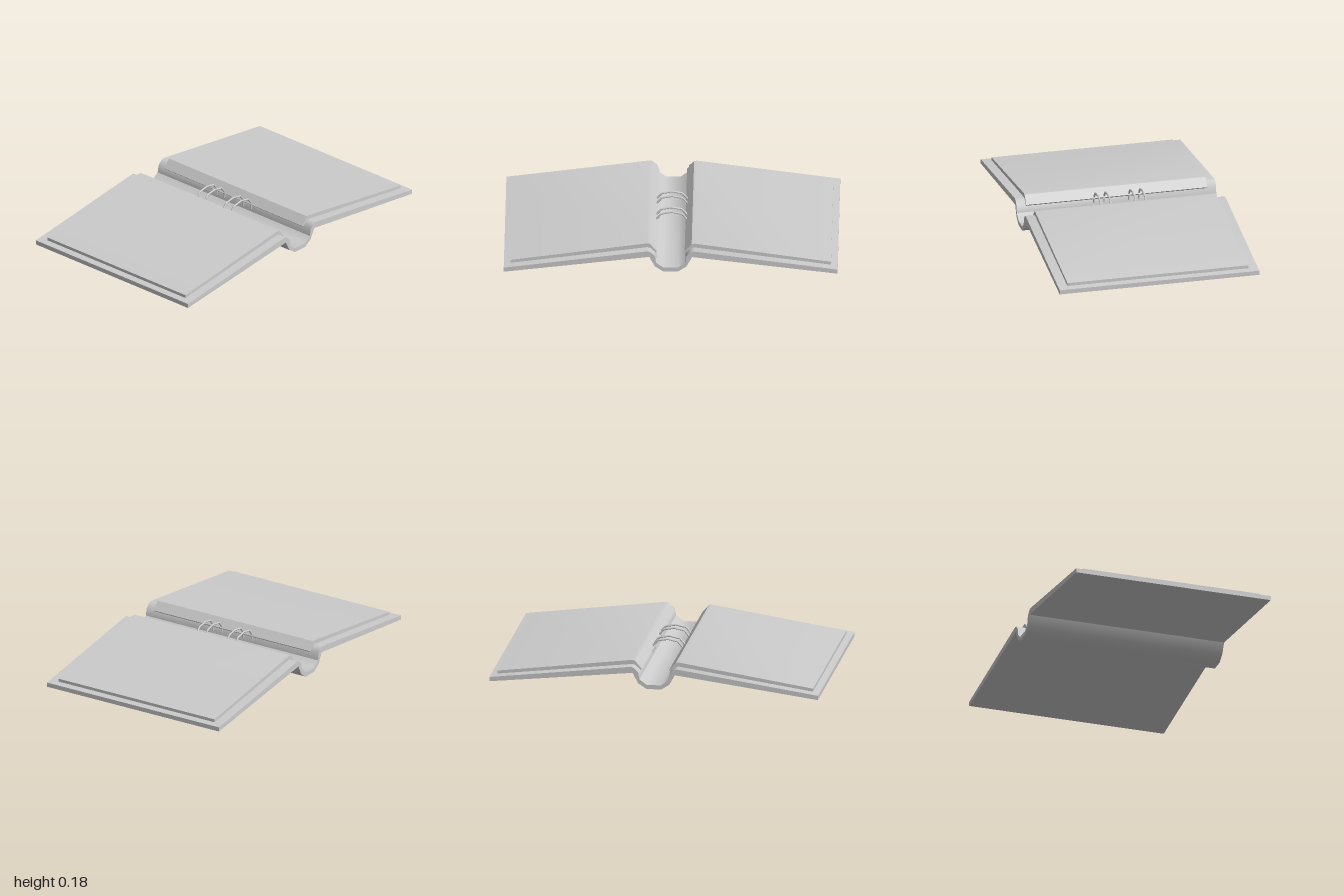
import * as THREE from 'three';
import { toCreasedNormals } from 'three/addons/utils/BufferGeometryUtils.js';

const material = new THREE.MeshStandardMaterial({ color: 0xcccccc });

// Sweeps a (z, y) section along x, centred on x = 0
function sweep(name, points, width) {
  const shape = new THREE.Shape(points.map(([z, y]) => new THREE.Vector2(-z, y)));
  const geometry = new THREE.ExtrudeGeometry(shape, { depth: width, bevelEnabled: false });
  geometry.translate(0, 0, -width / 2).rotateY(Math.PI / 2);
  const mesh = new THREE.Mesh(toCreasedNormals(geometry, 0.7), material);
  mesh.name = name;
  return mesh;
}

const mirror = (points) => points.map(([z, y]) => [-z, y]).reverse();

export function createModel() {
  const group = new THREE.Group();
  group.name = 'openRingBinder';

  // Cover: two sloping boards joined by a sunken rounded spine
  const top = [[1, 0.03], [0.14, 0.145], [0.122, 0.14], [0.095, 0.115], [0.087, 0.07], [0.045, 0.038]];
  const bottom = [[0.045, 0.012], [0.095, 0.045], [0.128, 0.108], [1, 0.003]];
  group.add(sweep('cover', [...top, ...mirror(top), ...mirror(bottom), ...bottom], 1.23));

  // Page stacks, bending down into the spine
  const pages = [
    [0.96, 0.033], [0.96, 0.054], [0.145, 0.17], [0.125, 0.168], [0.11, 0.15],
    [0.083, 0.118], [0.094, 0.108], [0.122, 0.138], [0.14, 0.143],
  ];
  group.add(sweep('frontPages', pages, 1.116));
  group.add(sweep('backPages', mirror(pages), 1.116));

  // Two pairs of binder rings arching over the spine
  const arch = [[0.09, 0.085], [0.092, 0.125], [0.062, 0.161], [0, 0.173]];
  const path = [...arch, ...mirror(arch).slice(1)];
  for (const x of [-0.14, -0.078, 0.075, 0.137]) {
    const curve = new THREE.CurvePath();
    for (let i = 0; i < path.length - 1; i++) {
      const [a, b] = [path[i], path[i + 1]].map(([z, y]) => new THREE.Vector3(x, y, z));
      curve.add(new THREE.LineCurve3(a, b));
    }
    const ring = new THREE.Mesh(new THREE.TubeGeometry(curve, 24, 0.006, 8), material);
    ring.name = 'binderRing';
    group.add(ring);
  }

  // Rest the underside of the spine on the ground
  const box = new THREE.Box3().setFromObject(group);
  group.position.y = -box.min.y;
  return group;
}
